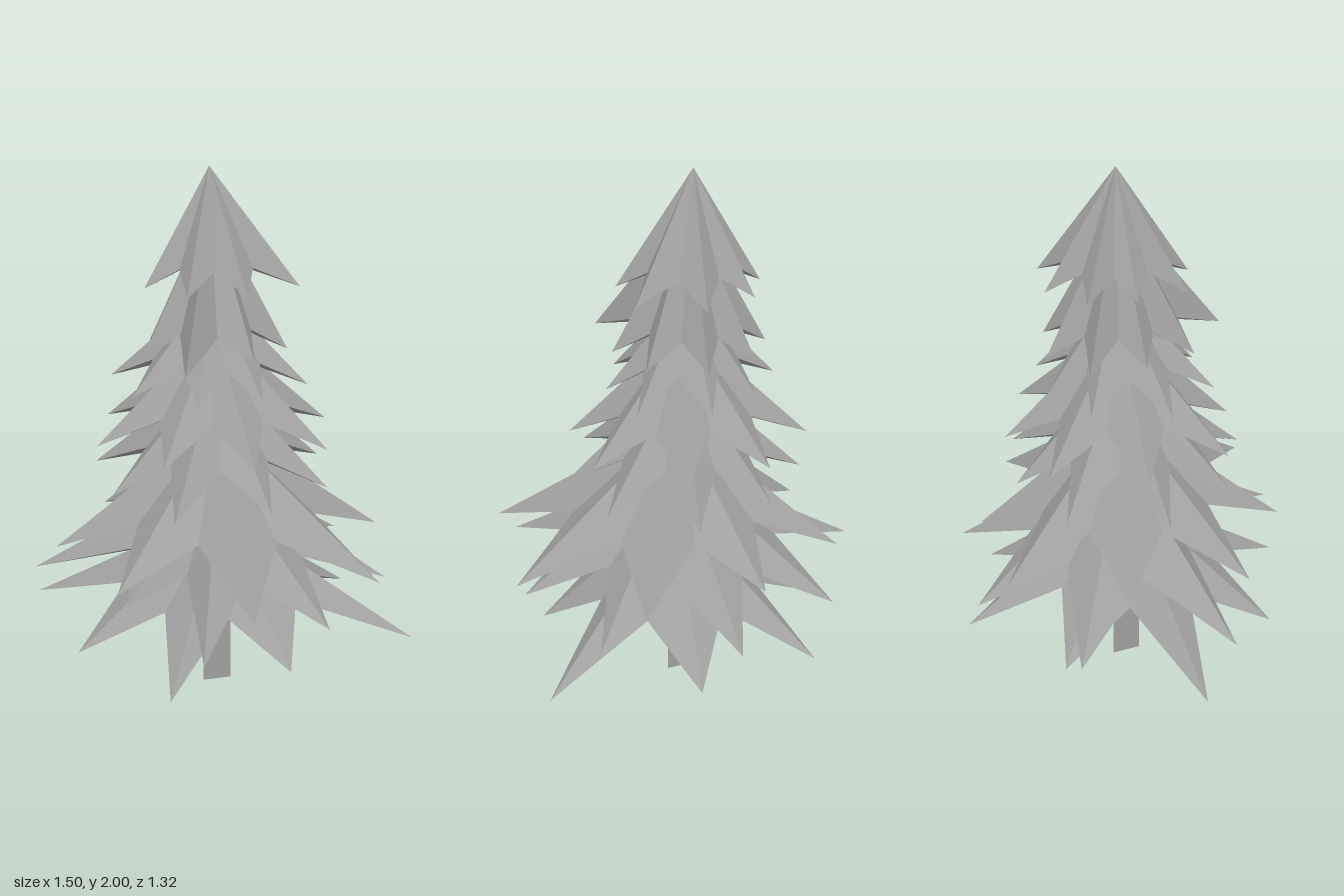
import * as THREE from 'three';

// Each tier: tip height, apex height, turn in degrees, and the reach of its eight evenly spaced branches
const TIERS = [
  { y: 0.28, top: 0.72, turn: -2, reach: [0.75, 0.51, 0.66, 0.6, 0.75, 0.55, 0.63, 0.58] },
  { y: 0.455, top: 0.9, turn: -13, reach: [0.64, 0.6, 0.71, 0.44, 0.71, 0.73, 0.63, 0.64] },
  { y: 0.61, top: 1.08, turn: 18, reach: [0.7, 0.71, 0.6, 0.61, 0.55, 0.6, 0.53, 0.63] },
  { y: 0.855, top: 1.28, turn: 0, reach: [0.43, 0.42, 0.48, 0.42, 0.48, 0.45, 0.4, 0.45] },
  { y: 1.025, top: 1.44, turn: 8, reach: [0.45, 0.42, 0.41, 0.45, 0.45, 0.45, 0.42, 0.45] },
  { y: 1.225, top: 1.58, turn: -8, reach: [0.35, 0.3, 0.31, 0.35, 0.38, 0.33, 0.28, 0.31] },
  { y: 1.36, top: 1.87, turn: -5, reach: [0.28, 0.28, 0.41, 0.28, 0.23, 0.28, 0.27, 0.28] },
  { y: 1.595, top: 2, turn: -1, reach: [0.33, 0.27, 0.27, 0.26, 0.19, 0.24, 0.26, 0.3] },
];

// Star-shaped cone: ridges to the tips, raised notches between, hollowed underside
function tierGeometry({ y, top, turn, reach }, t) {
  const cx = -0.05 * t, cz = -0.03 - 0.04 * t;
  const rise = 0.15 - 0.08 * t;
  const spread = 0.58 + 0.1 * t;
  const apex = [cx, top, cz];
  const under = [cx, y + rise + 0.02, cz];
  const tips = reach.map((r, i) => {
    const a = THREE.MathUtils.degToRad(turn + i * 45);
    return [r * Math.cos(a), r * Math.sin(a)];
  });
  const rim = [];
  tips.forEach(([x, z], i) => {
    const [nx, nz] = tips[(i + 1) % tips.length];
    rim.push([cx + x, y, cz + z]);
    rim.push([cx + (x + nx) / 2 * spread, y + rise, cz + (z + nz) / 2 * spread]);
  });
  const pos = [];
  rim.forEach((a, i) => {
    const b = rim[(i + 1) % rim.length];
    pos.push(...apex, ...b, ...a, ...under, ...a, ...b);
  });
  const geo = new THREE.BufferGeometry();
  geo.setAttribute('position', new THREE.Float32BufferAttribute(pos, 3));
  geo.computeVertexNormals();
  return geo;
}

export function createModel() {
  const group = new THREE.Group();
  group.name = 'pineTree';
  const grey = new THREE.MeshStandardMaterial({ color: 0xa0a0a0 });
  grey.name = 'grey';
  grey.flatShading = true;

  // Three-sided trunk, one corner towards +x
  const trunk = new THREE.Mesh(new THREE.CylinderGeometry(0.06, 0.063, 0.6, 3), grey);
  trunk.name = 'trunk';
  trunk.rotation.y = Math.PI / 2;
  trunk.position.set(-0.018, 0.3, -0.035);
  group.add(trunk);

  // Branch tiers from bottom to top
  TIERS.forEach((tier, i) => {
    const mesh = new THREE.Mesh(tierGeometry(tier, i / (TIERS.length - 1)), grey);
    mesh.name = `branchTier${i + 1}`;
    group.add(mesh);
  });
  return group;
}
